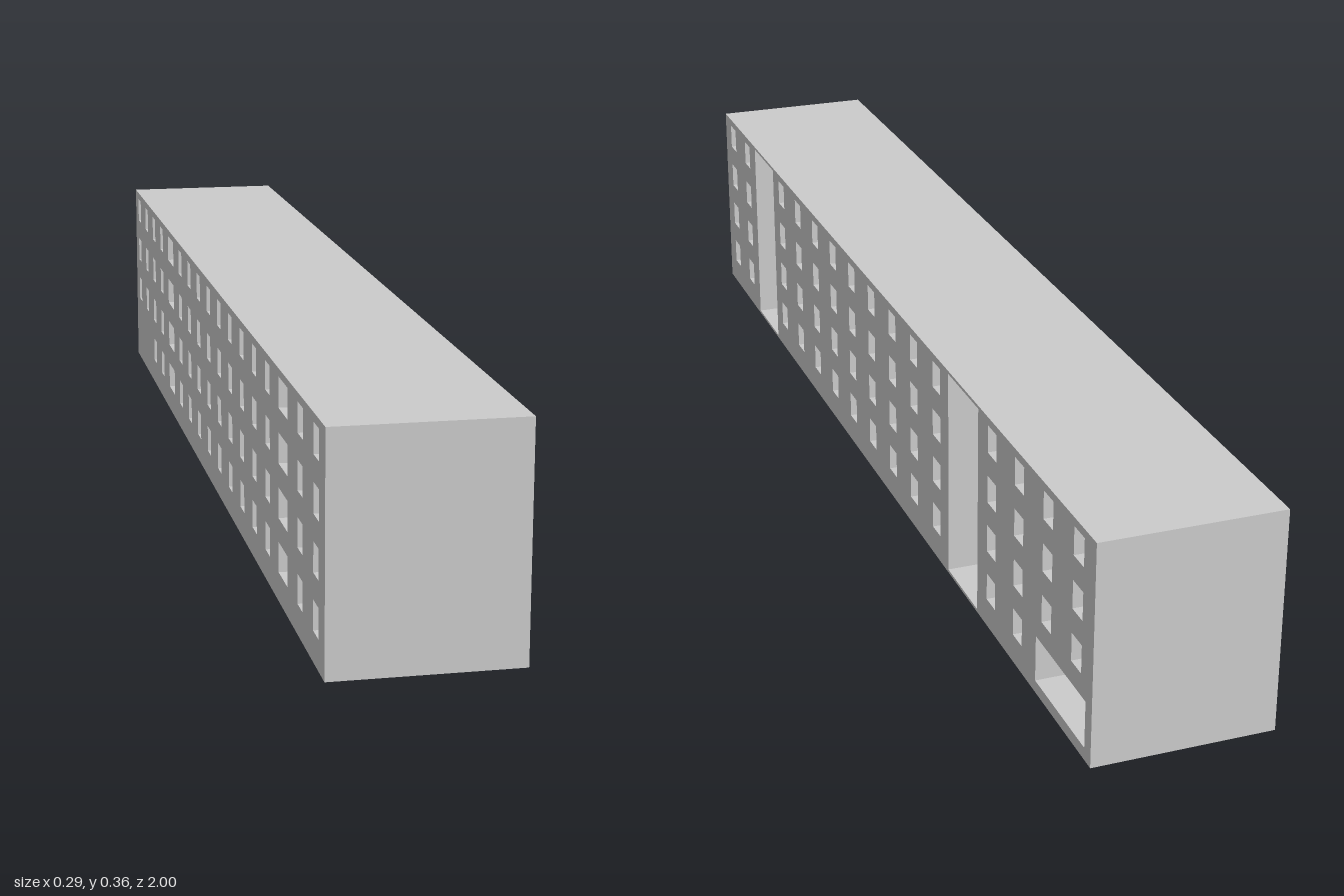
import * as THREE from 'three';

export function createModel() {
  const group = new THREE.Group();
  group.name = 'apartmentBlock';
  const mat = new THREE.MeshStandardMaterial({ color: 0xcccccc, flatShading: true });

  const W = 0.146, H = 0.363, L = 1;      // half width, height, half length
  const frontT = 0.024, backT = 0.014;    // facade thicknesses
  const roofT = 0.005, baseT = 0.005, slabT = 0.004, endT = 0.02;
  const storey = 0.0855, firstFloor = 0.02, firstWindow = 0.07;
  const rows = [0, 1, 2, 3];
  const columns = [0.94, 0.828, 0.573, 0.458, 0.343, 0.229, 0.115, 0,
    -0.115, -0.229, -0.343, -0.598, -0.712, -0.826, -0.94];
  const shafts = [[0.631, 0.767], [-0.537, -0.4]];
  const hall = { z0: -0.977, z1: -0.787, y0: 0.02, y1: 0.097 };

  function add(name, geometry) {
    const mesh = new THREE.Mesh(geometry, mat);
    mesh.name = name;
    group.add(mesh);
  }

  // Box from its lower and upper limits on each axis
  function box(name, x0, x1, y0, y1, z0, z1) {
    const g = new THREE.BoxGeometry(x1 - x0, y1 - y0, z1 - z0);
    g.translate((x0 + x1) / 2, (y0 + y1) / 2, (z0 + z1) / 2);
    add(name, g);
  }

  // Rectangle in the facade plane, where shape x is -z
  function rect(target, z0, z1, y0, y1) {
    target.moveTo(-z1, y0);
    target.lineTo(-z0, y0);
    target.lineTo(-z0, y1);
    target.lineTo(-z1, y1);
    target.closePath();
    return target;
  }

  const opening = (z, y, w, h) =>
    rect(new THREE.Path(), z - w / 2, z + w / 2, y - h / 2, y + h / 2);

  function facade(name, holes, x0, thickness) {
    const shape = rect(new THREE.Shape(), -L, L, 0, H);
    shape.holes.push(...holes);
    const g = new THREE.ExtrudeGeometry(shape, { depth: thickness, bevelEnabled: false });
    g.rotateY(Math.PI / 2);
    g.translate(x0, 0, 0);
    add(name, g);
  }

  // Ordinary windows, left out where the ground floor hall lies
  const windows = () => {
    const list = [];
    for (const z of columns) for (const r of rows) {
      if (r === 0 && z < hall.z1) continue;
      list.push(opening(z, firstWindow + r * storey, 0.037, 0.046));
    }
    return list;
  };

  // Left facade: windows, two tall stair recesses and the hall opening
  const leftHoles = windows();
  for (const [z0, z1] of shafts) leftHoles.push(rect(new THREE.Path(), z0, z1, baseT, H - roofT));
  leftHoles.push(rect(new THREE.Path(), hall.z0, hall.z1, hall.y0, hall.y1));
  facade('leftFacade', leftHoles, W - frontT, frontT);

  // Right facade: windows and wide stair windows
  const rightHoles = windows();
  for (const [z0, z1] of shafts) for (const r of rows)
    rightHoles.push(opening((z0 + z1) / 2, firstWindow + r * storey, 0.072, 0.048));
  facade('rightFacade', rightHoles, -W, backT);

  // Roof, base and end walls between the facades
  const xa = -W + backT, xb = W - frontT;
  box('roof', xa, xb, H - roofT, H, -L, L);
  box('base', xa, xb, 0, baseT, -L, L);
  box('frontEndWall', xa, xb, baseT, H - roofT, L - endT, L);
  box('backEndWall', xa, xb, baseT, H - roofT, -L, -L + endT);

  // Stair recess walls, standing outside each recess
  for (const [z0, z1] of shafts) {
    box('stairWall', xa, xb, baseT, H - roofT, z0 - 0.006, z0);
    box('stairWall', xa, xb, baseT, H - roofT, z1, z1 + 0.006);
  }

  // Storey slabs in the wings, and landings at the back of the recesses
  const wings = [[-L + endT, -0.543], [-0.394, 0.625], [0.773, L - endT]];
  for (const r of rows) {
    const y = firstFloor + r * storey;
    for (const [z0, z1] of wings) box('floorSlab', xa, xb, y - slabT, y, z0, z1);
    for (const [z0, z1] of shafts) box('landing', xa, 0, y - slabT, y, z0, z1);
  }

  // Partitions in the back wing
  box('hallWall', xa, xb, firstFloor, firstFloor + storey - slabT, hall.z1, hall.z1 + 0.006);
  box('partition', xa + 0.03, xb - 0.03, firstFloor + storey, H - roofT, -0.722, -0.704);

  return group;
}
